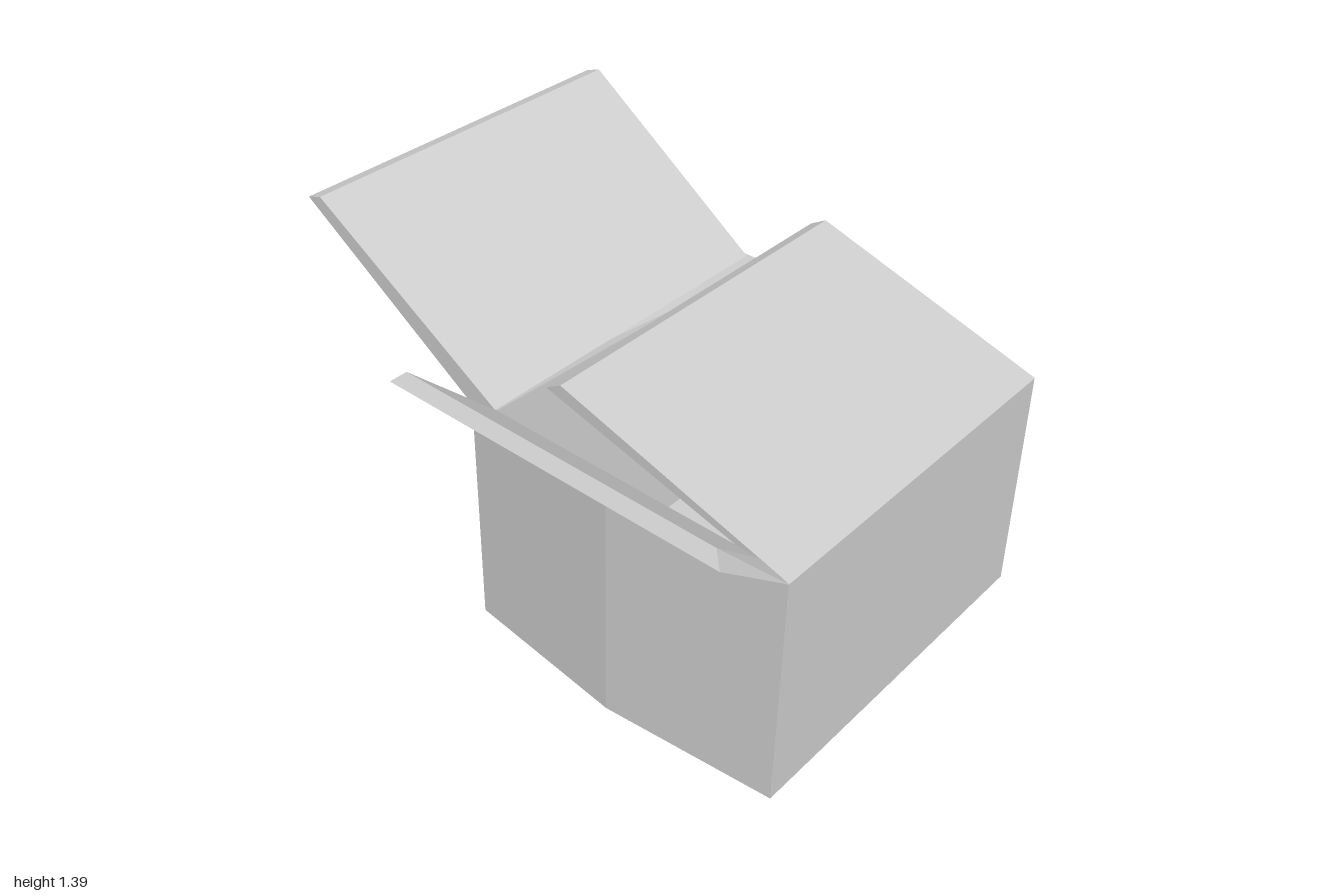
import * as THREE from 'three';
import { ConvexGeometry } from 'three/addons/geometries/ConvexGeometry.js';

const V = (x, y, z) => new THREE.Vector3(x, y, z);

// Skin a stack of equal-length rings; the first and last rings are capped.
function skinRings(rings) {
  const out = [];
  const tri = (a, b, c) => out.push(...a, ...b, ...c);
  const n = rings[0].length;
  for (let r = 0; r < rings.length - 1; r++) {
    for (let i = 0; i < n; i++) {
      const j = (i + 1) % n;
      const a = rings[r], b = rings[r + 1];
      tri(a[i], b[i], b[j]);
      tri(a[i], b[j], a[j]);
    }
  }
  const first = rings[0], last = rings[rings.length - 1];
  for (let i = 1; i < n - 1; i++) {
    tri(first[0], first[i], first[i + 1]);
    tri(last[0], last[i + 1], last[i]);
  }
  const g = new THREE.BufferGeometry();
  g.setAttribute('position', new THREE.Float32BufferAttribute(out, 3));
  g.computeVertexNormals();
  return g;
}

// Five-point footprint whose front edge bows out to zMid.
function ring(x0, x1, zBack, zFront, zMid, yBack, yFront = yBack) {
  return [
    V(x0, yBack, zBack), V(x1, yBack, zBack), V(x1, yFront, zFront),
    V((x0 + x1) / 2, yFront, zMid), V(x0, yFront, zFront),
  ];
}

// Side flap from a cross-section: outer hinge, outer tip, inner tip, inner hinge.
function sideFlap(section) {
  const points = [];
  section.forEach(([x, y], i) => {
    points.push(V(x, y, i === 3 ? -0.76 : -0.815), V(x, y, 0.513));
  });
  return new ConvexGeometry(points);
}

export function createModel() {
  const model = new THREE.Group();
  model.name = 'openBox';
  const card = new THREE.MeshStandardMaterial({ color: 0xcccccc, flatShading: true });
  card.name = 'grey card';
  const add = (name, geometry) => {
    const mesh = new THREE.Mesh(geometry, card);
    mesh.name = name;
    model.add(mesh);
  };

  // Box shell: outer walls, rim with a deep back ledge, cavity walls and floor
  add('boxBody', skinRings([
    ring(-0.27, 1, -0.83, 0.53, 0.59, 0),
    ring(-0.27, 1, -0.812, 0.515, 0.575, 0.885),
    ring(-0.165, 0.895, -0.4, 0.51, 0.51, 0.875, 0.91),
    ring(-0.125, 0.855, -0.36, 0.47, 0.47, 0.04),
  ].map((r) => r.map((p) => p.toArray()))));

  // Right flap, thrown wide open
  add('rightFlap', sideFlap([[-0.27, 0.885], [-1, 1.375], [-0.94, 1.395], [-0.165, 0.916]]));

  // Left flap, folded over the opening
  add('leftFlap', sideFlap([[1, 0.885], [0.13, 1.15], [0.07, 1.115], [0.895, 0.895]]));

  // Front flap, leaning forward from the bowed hinge
  add('frontFlap', new ConvexGeometry([
    V(-0.27, 0.885, 0.515), V(0.365, 0.885, 0.575), V(1, 0.885, 0.515),
    V(-0.27, 1.145, 0.83), V(1, 1.145, 0.83),
    V(-0.23, 1.18, 0.795), V(0.96, 1.18, 0.795),
    V(-0.165, 0.915, 0.51), V(0.895, 0.915, 0.51),
  ]));

  return model;
}
